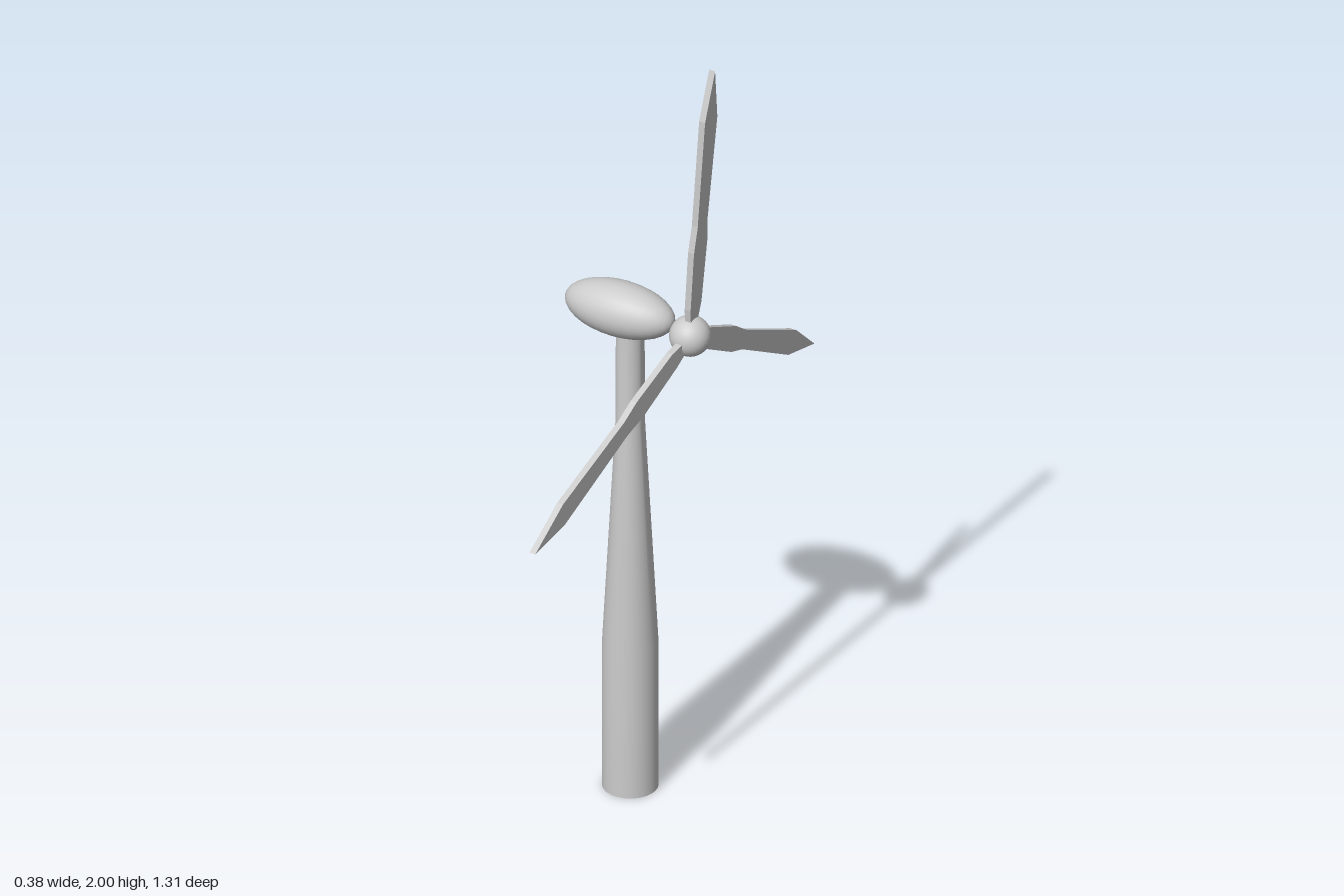
import * as THREE from 'three';
import { toCreasedNormals } from 'three/addons/utils/BufferGeometryUtils.js';

export function createModel() {
  const group = new THREE.Group();
  const material = new THREE.MeshStandardMaterial({ color: 0xcccccc });
  const add = (name, geometry) => {
    const mesh = new THREE.Mesh(geometry, material);
    mesh.name = name;
    group.add(mesh);
    return mesh;
  };

  // Tower: straight base, tapered middle, slim straight neck
  const profile = [[0, 0], [0.067, 0], [0.067, 0.39], [0.035, 1.0], [0.034, 1.27], [0, 1.27]];
  const towerGeometry = new THREE.LatheGeometry(profile.map(([r, y]) => new THREE.Vector2(r, y)), 32);
  add('tower', toCreasedNormals(towerGeometry, 0.6)).position.set(-0.019, 0, -0.015);

  // Nacelle: egg-shaped housing lying along x
  const nacelle = add('nacelle', new THREE.SphereGeometry(1, 32, 16).rotateZ(Math.PI / 2));
  nacelle.scale.set(0.144, 0.067, 0.07);
  nacelle.position.set(-0.049, 1.298, -0.02);

  // Hub
  const hub = new THREE.Vector3(0.136, 1.274, -0.027);
  add('hub', new THREE.SphereGeometry(0.05, 32, 16)).position.copy(hub);

  // Blade outline: narrow root, shoulder, waist, wide end and pointed tip
  const outline = [
    [-0.018, 0.045], [-0.024, 0.08], [-0.031, 0.24], [-0.023, 0.31], [-0.03, 0.6],
    [0, 0.728],
    [0.031, 0.59], [0.024, 0.31], [0.032, 0.25], [0.028, 0.085], [0.018, 0.045],
  ];
  const thickness = 0.016;
  const bladeGeometry = new THREE.ExtrudeGeometry(
    new THREE.Shape(outline.map(([x, y]) => new THREE.Vector2(x, y))),
    { depth: thickness, bevelEnabled: false },
  ).translate(0, 0, -thickness / 2);

  // Three blades, each aimed from the hub at its tip
  const tips = [[0.178, 2.0, -0.058], [0.09, 1.02, 0.655], [0.111, 0.915, -0.655]];
  for (const tip of tips) {
    const along = new THREE.Vector3(...tip).sub(hub).normalize();
    const across = new THREE.Vector3().crossVectors(along, new THREE.Vector3(1, 0, 0)).normalize();
    const facing = new THREE.Vector3().crossVectors(across, along);
    const blade = add('blade', bladeGeometry);
    blade.quaternion.setFromRotationMatrix(new THREE.Matrix4().makeBasis(across, along, facing));
    blade.position.copy(hub);
  }

  return group;
}
